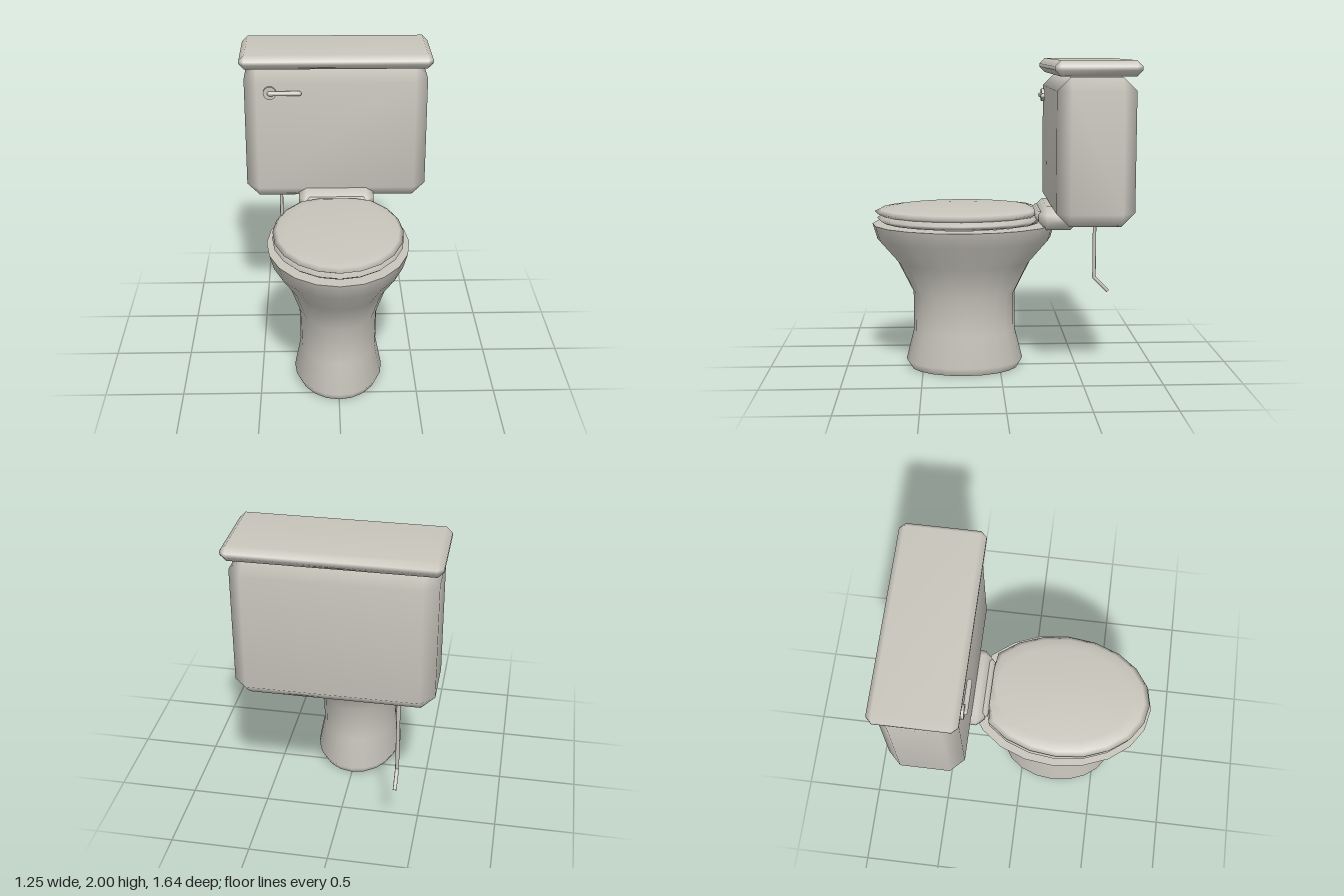
import * as THREE from 'three';
import { mergeVertices } from 'three/addons/utils/BufferGeometryUtils.js';
import { ConvexGeometry } from 'three/addons/geometries/ConvexGeometry.js';

const porcelain = new THREE.MeshStandardMaterial({ color: 0xc8c5bc, side: THREE.DoubleSide });
porcelain.name = 'porcelain';

// Oval loft through rings [y, radiusX, radiusZ], centred on z = zc, cut straight at the back
function ovalLoft(rings, zc, back = -Infinity, sides = 20) {
  const pos = [], index = [];
  rings.forEach(([y, rx, rz], r) => {
    for (let s = 0; s < sides; s++) {
      const a = (s / sides) * Math.PI * 2;
      pos.push(Math.sin(a) * rx, y, Math.max(back, zc + Math.cos(a) * rz));
      if (r === 0) continue;
      const n = (s + 1) % sides, lo = (r - 1) * sides, hi = r * sides;
      index.push(lo + s, lo + n, hi + n, lo + s, hi + n, hi + s);
    }
  });
  const g = new THREE.BufferGeometry();
  g.setAttribute('position', new THREE.Float32BufferAttribute(pos, 3));
  g.setIndex(index);
  g.computeVertexNormals();
  return g;
}

// Box with bevelled edges and smooth normals, given by its min and max corners
function bevelBox(min, max, bevel) {
  const half = max.map((v, i) => (v - min[i]) / 2);
  const points = [];
  for (let axis = 0; axis < 3; axis++)
    for (const sx of [-1, 1]) for (const sy of [-1, 1]) for (const sz of [-1, 1]) {
      const p = [sx, sy, sz].map((s, i) => s * (half[i] - (i === axis ? 0 : bevel)));
      points.push(new THREE.Vector3(...p));
    }
  let g = new ConvexGeometry(points);
  g.deleteAttribute('normal');
  g = mergeVertices(g, 1e-4);
  g.computeVertexNormals();
  return g.translate(...max.map((v, i) => (v + min[i]) / 2));
}

// Straight round rod between two points
function rod(a, b, radius, sides = 12) {
  const p = new THREE.Vector3(...a), q = new THREE.Vector3(...b);
  const d = q.clone().sub(p);
  const g = new THREE.CylinderGeometry(radius, radius, d.length(), sides);
  g.applyQuaternion(new THREE.Quaternion().setFromUnitVectors(new THREE.Vector3(0, 1, 0), d.normalize()));
  return g.translate(...p.add(q).multiplyScalar(0.5).toArray());
}

export function createModel() {
  const model = new THREE.Group();
  model.name = 'toilet';
  const add = (name, geometry) => {
    const mesh = new THREE.Mesh(geometry, porcelain);
    mesh.name = name;
    model.add(mesh);
  };

  // Pedestal flaring into the bowl, open underneath
  add('pedestalBowl', ovalLoft([
    [0, 0.26, 0.35], [0.05, 0.285, 0.38], [0.25, 0.245, 0.33], [0.5, 0.25, 0.33],
    [0.7, 0.32, 0.43], [0.85, 0.42, 0.56], [0.95, 0.45, 0.59],
  ], 0.23));
  add('bowlRim', ovalLoft([[0.95, 0.45, 0.59], [0.95, 0.33, 0.45]], 0.23));
  add('basin', ovalLoft([[0.95, 0.33, 0.45], [0.8, 0.28, 0.38], [0.62, 0.15, 0.2], [0.58, 0, 0]], 0.23));

  // Seat and domed cover, both cut straight at the hinge
  add('seat', ovalLoft([
    [0.96, 0, 0], [0.96, 0.38, 0.51], [0.972, 0.4, 0.53], [0.988, 0.415, 0.55],
    [1.01, 0.39, 0.52], [1.01, 0, 0],
  ], 0.24, -0.24));
  add('seatCover', ovalLoft([
    [1.008, 0, 0], [1.008, 0.38, 0.52], [1.03, 0.412, 0.56], [1.048, 0.385, 0.525],
    [1.06, 0.32, 0.44], [1.071, 0.13, 0.18], [1.072, 0, 0],
  ], 0.245, -0.22));

  // Hinge bar and the block joining bowl and tank
  add('hinge', bevelBox([-0.2, 0.985, -0.28], [0.2, 1.045, -0.22], 0.02));
  add('tankConnector', bevelBox([-0.25, 0.93, -0.49], [0.25, 1.08, -0.24], 0.05));

  // Tank and its lid
  add('tank', bevelBox([-0.6, 1.0, -0.8], [0.6, 1.9, -0.32], 0.083));
  add('tankLid', bevelBox([-0.625, 1.905, -0.82], [0.625, 2.0, -0.3], 0.036));

  // Flush handle
  add('handlePlate', rod([-0.43, 1.755, -0.325], [-0.43, 1.755, -0.3], 0.043, 16));
  add('handleLever', rod([-0.43, 1.755, -0.297], [-0.24, 1.755, -0.297], 0.016));
  for (const x of [-0.43, -0.24])
    add('leverEnd', new THREE.SphereGeometry(0.016, 12, 8).translate(x, 1.755, -0.297));

  // Water supply pipe with a bend towards the wall
  add('supplyPipe', rod([-0.38, 1.02, -0.67], [-0.38, 0.5, -0.67], 0.012, 8));
  add('supplyPipeBend', new THREE.SphereGeometry(0.012, 8, 6).translate(-0.38, 0.5, -0.67));
  add('supplyPipeEnd', rod([-0.38, 0.5, -0.67], [-0.38, 0.405, -0.765], 0.012, 8));

  return model;
}
